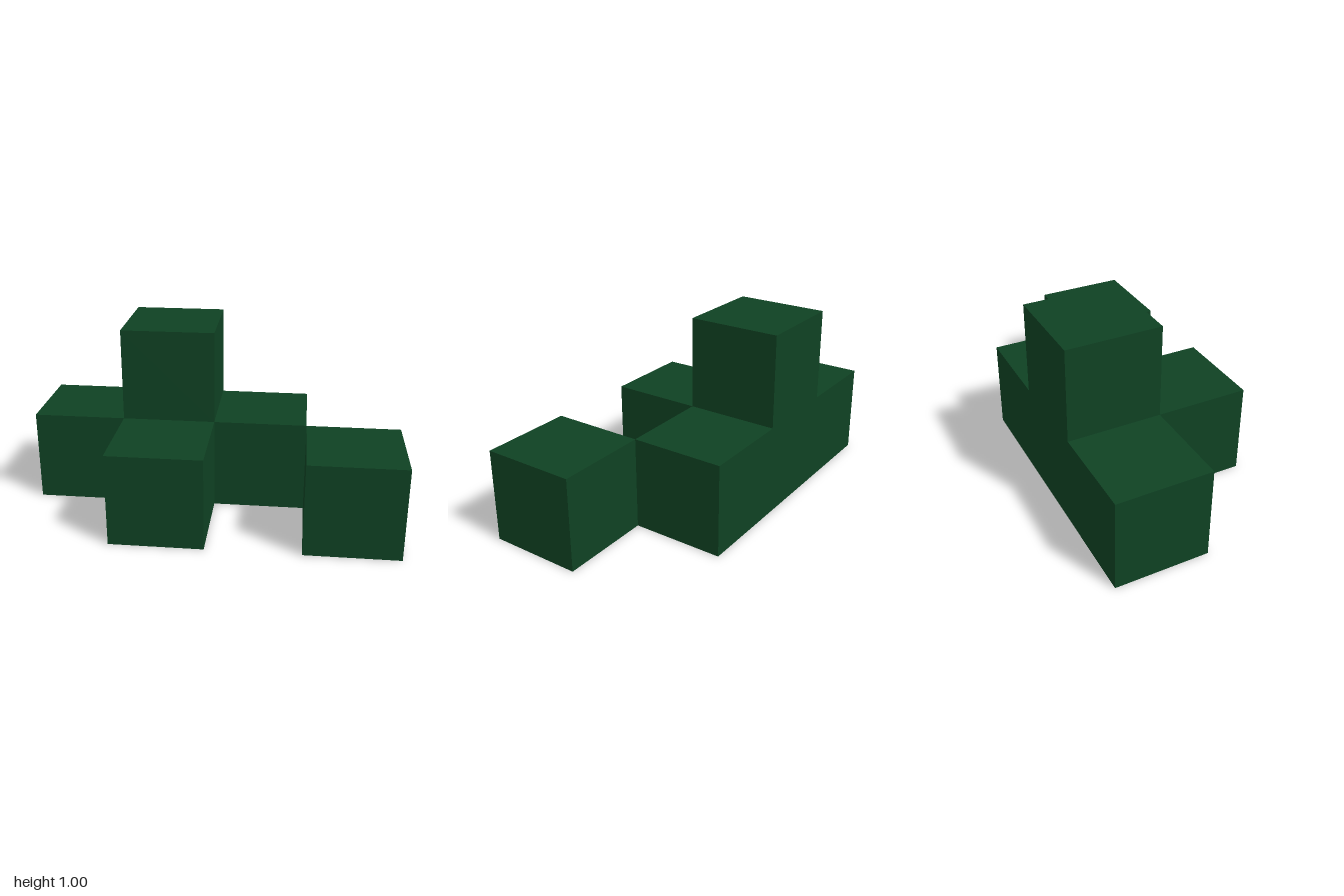
import * as THREE from 'three';

const S = 0.5; // edge of one cube

export function createModel() {
  const group = new THREE.Group();
  const green = new THREE.MeshStandardMaterial({ color: 0x0f4223 });
  green.name = 'darkGreen';

  const add = (name, geometry, x, y, z) => {
    const mesh = new THREE.Mesh(geometry, green);
    mesh.name = name;
    mesh.position.set(x, y, z);
    group.add(mesh);
  };

  // Back row of three cubes with the raised cube on its middle, as one T-shaped block
  const outline = [[-1, 0], [0.5, 0], [0.5, S], [0, S], [0, 2 * S], [-0.5, 2 * S], [-0.5, S], [-1, S]];
  const shape = new THREE.Shape(outline.map(([x, y]) => new THREE.Vector2(x, y)));
  add('backRowWithTower', new THREE.ExtrudeGeometry(shape, { depth: S, bevelEnabled: false }), 0, 0, -S);

  // Cube in front of the middle, and the corner cube touching only along an edge
  const cube = new THREE.BoxGeometry(S, S, S);
  add('frontCube', cube, -0.25, S / 2, 0.25);
  add('cornerCube', cube, 0.75, S / 2, 0.25);

  return group;
}
